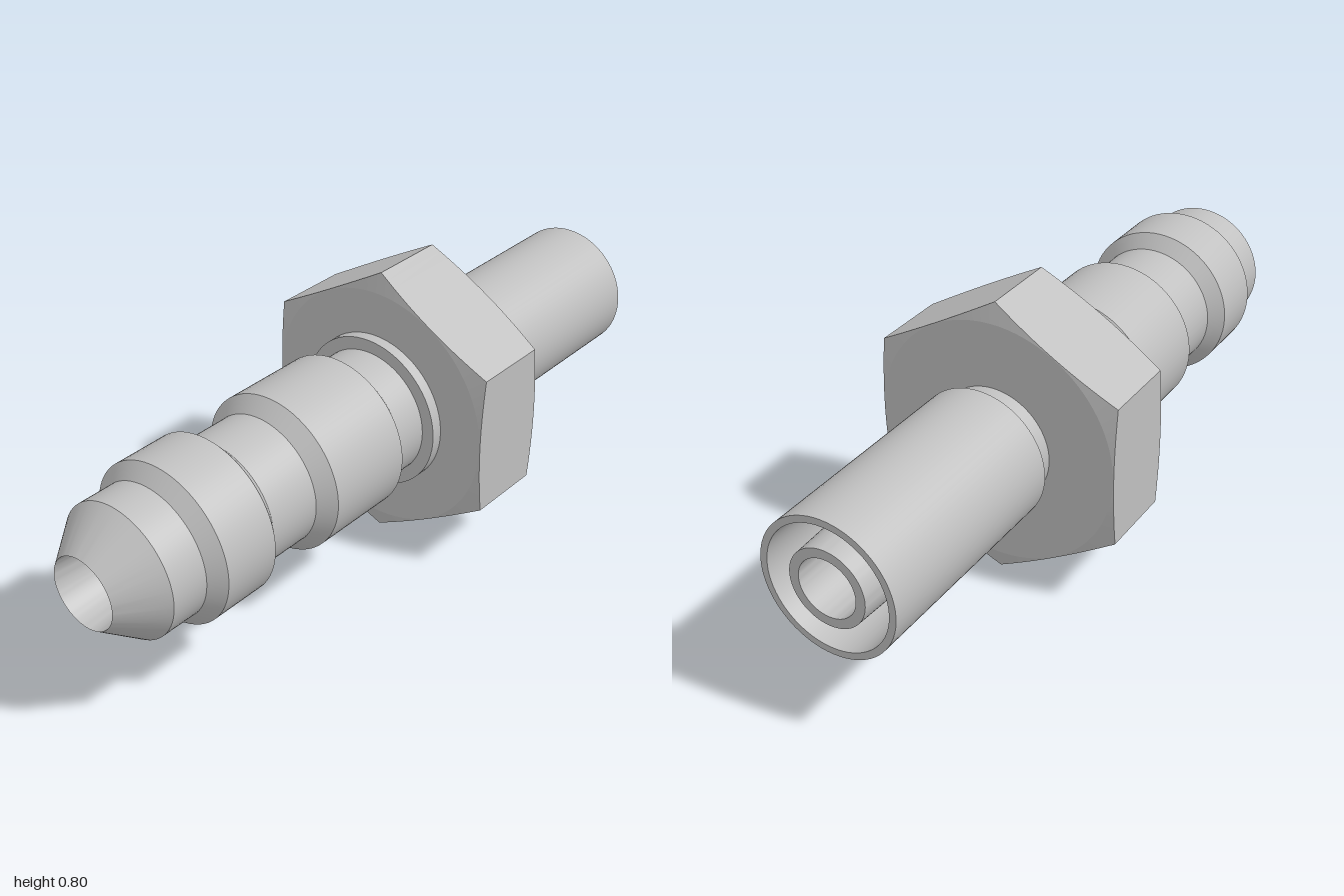
import * as THREE from 'three';
import { toCreasedNormals } from 'three/addons/utils/BufferGeometryUtils.js';

const steel = new THREE.MeshStandardMaterial({ color: 0xc0c0c0 });
steel.name = 'steel grey';

const AXIS_Y = 0.4;
const BORE = 0.08;

// Turned part: profile of [x, radius] pairs revolved round the x axis.
// Profiles run towards +x on outer walls and back towards -x on inner walls.
function turned(name, profile) {
  const points = profile.map(([x, r]) => new THREE.Vector2(r, x));
  const geometry = new THREE.LatheGeometry(points, 72);
  geometry.rotateZ(-Math.PI / 2);
  const mesh = new THREE.Mesh(toCreasedNormals(geometry, 0.2), steel);
  mesh.name = name;
  return mesh;
}

// Hexagon whose corners are cut by a shallow cone on both end faces.
function hexNut(x0, x1, apothem, hole) {
  const sides = 96;
  const slope = 0.28;
  const positions = [];
  const index = [];
  for (let i = 0; i <= sides; i++) {
    const a = (i / sides) * Math.PI * 2;
    const r = apothem / Math.cos((a % (Math.PI / 3)) - Math.PI / 6);
    const face = apothem - 0.002;
    const inset = (r - face) * slope;
    const section = [[x0, hole], [x0, face], [x0 + inset, r], [x1 - inset, r], [x1, face], [x1, hole]];
    for (const [x, rad] of section) positions.push(x, rad * Math.cos(a), rad * Math.sin(a));
  }
  for (let i = 0; i < sides; i++) {
    for (let j = 0; j < 5; j++) {
      const a = i * 6 + j;
      const b = a + 6;
      index.push(a, b, a + 1, b, b + 1, a + 1);
    }
  }
  const geometry = new THREE.BufferGeometry();
  geometry.setAttribute('position', new THREE.Float32BufferAttribute(positions, 3));
  geometry.setIndex(index);
  const mesh = new THREE.Mesh(toCreasedNormals(geometry, 0.15), steel);
  mesh.name = 'hexNut';
  return mesh;
}

export function createModel() {
  const model = new THREE.Group();
  model.name = 'hoseFitting';
  const fitting = new THREE.Group();
  fitting.name = 'fitting';
  fitting.position.y = AXIS_Y;
  model.add(fitting);

  fitting.add(
    // Tapered nose and two raised bands
    turned('plugEnd', [
      [-1, 0.098], [-0.89, 0.183], [-0.785, 0.183], [-0.75, 0.22], [-0.59, 0.22],
      [-0.555, 0.182], [-0.4, 0.182], [-0.36, 0.22], [-0.105, 0.22], [-0.07, 0.182], [0.03, 0.182],
    ]),
    turned('collar', [[0.028, 0.18], [0.028, 0.218], [0.06, 0.218]]),
    hexNut(0.06, 0.31, 0.3464, 0.15),
    turned('neck', [[0.31, 0.162], [0.376, 0.162]]),
    // Hollow sleeve, slightly tapered inside, closed at the bottom of the recess
    turned('sleeve', [
      [0.375, 0.16], [0.375, 0.189], [1, 0.189], [1, 0.17], [0.7, 0.16], [0.7, 0.115],
    ]),
    turned('innerTube', [[0.7, 0.117], [1, 0.106], [1, BORE]]),
    // Through bore, flared at the nose
    turned('bore', [[1, BORE], [-0.8, BORE], [-1, 0.098]])
  );
  return model;
}
